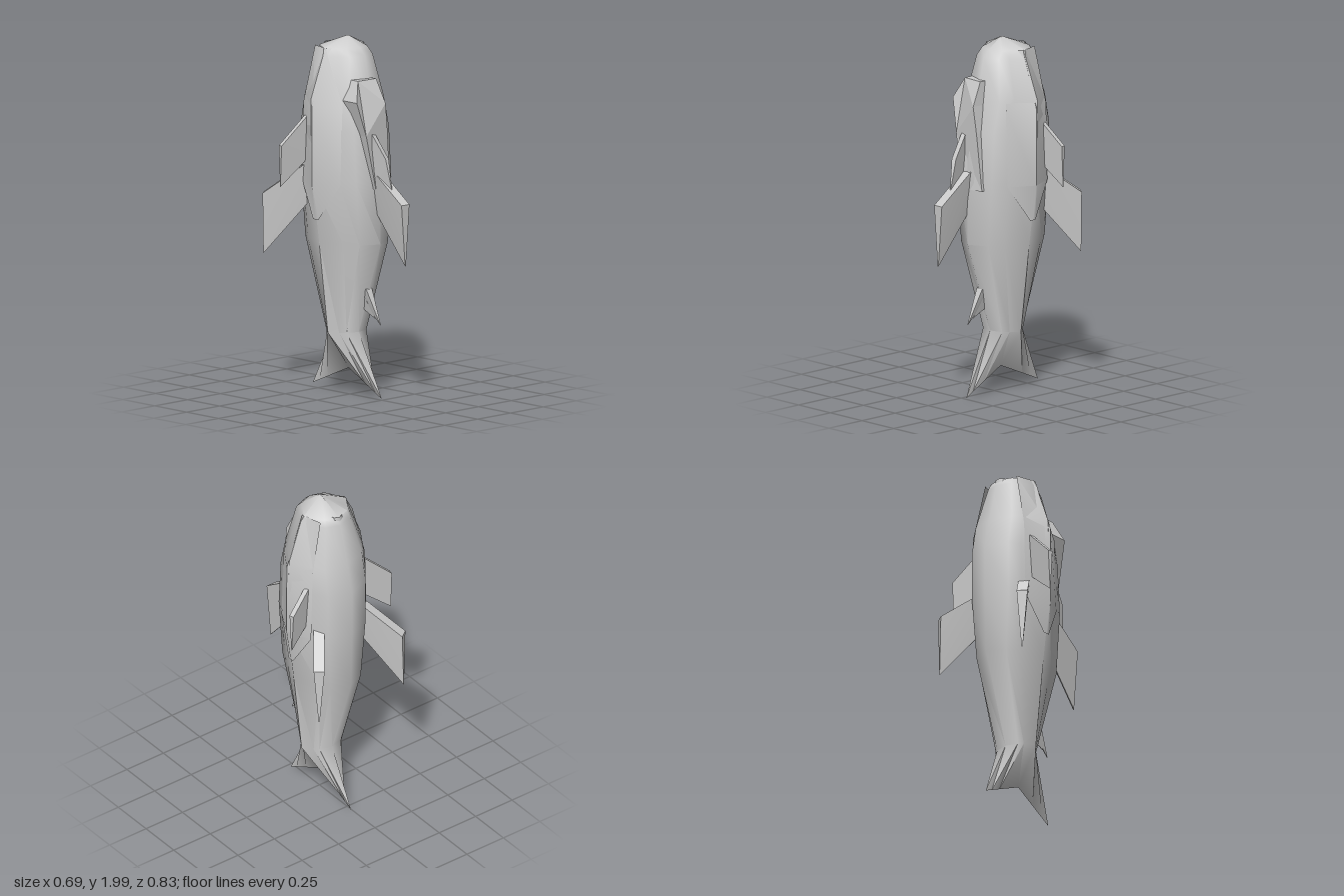
import * as THREE from 'three';
import { toCreasedNormals } from 'three/addons/utils/BufferGeometryUtils.js';
import { ConvexGeometry } from 'three/addons/geometries/ConvexGeometry.js';

const grey = new THREE.MeshStandardMaterial({ color: 0xcccccc });
const greyThin = new THREE.MeshStandardMaterial({ color: 0xcccccc, side: THREE.DoubleSide });
const CX = 0.02; // the body sits slightly off the middle

function addMesh(parent, name, geometry, material = grey) {
  const mesh = new THREE.Mesh(geometry, material);
  mesh.name = name;
  parent.add(mesh);
  return mesh;
}

// Skins rows of points (top to bottom) into one surface
function skin(rows, closed, crease) {
  const n = rows[0].length, index = [];
  for (let i = 0; i < rows.length - 1; i++) {
    for (let j = 0; j < (closed ? n : n - 1); j++) {
      const a = i * n + j, b = i * n + (j + 1) % n;
      index.push(a, a + n, b + n, a, b + n, b);
    }
  }
  const g = new THREE.BufferGeometry();
  g.setAttribute('position', new THREE.Float32BufferAttribute(rows.flat(2), 3));
  g.setIndex(index);
  return toCreasedNormals(g, crease);
}

// Cross-section, half: [share of half width, share of depth from back to front]
const HALF = [[0, 1], [0.54, 0.9], [0.72, 0.73], [1, 0.48], [0.7, 0.2], [0.52, 0.09], [0, 0]];
const SECTION = [...HALF, ...HALF.slice(1, -1).reverse().map(([x, z]) => [-x, z])];

function bodyGeometry() {
  // [y, half width, front z, back z]
  const rings = [
    [2.0, 0.002, -0.03, -0.04], [1.94, 0.145, 0.06, -0.2], [1.9, 0.16, 0.1, -0.22],
    [1.67, 0.245, 0.15, -0.28], [1.5, 0.247, 0.2, -0.32], [1.22, 0.247, 0.22, -0.32],
    [0.87, 0.2, 0.22, -0.31], [0.36, 0.14, 0.05, -0.14],
  ];
  const rows = rings.map(([y, w, zf, zb]) =>
    SECTION.map(([x, t]) => [CX + x * w, y, zb + t * (zf - zb)]));
  // Forked tail: the last ring closes to a notched edge
  rows.push(SECTION.map(([, t]) => {
    const front = t >= 0.48;
    const k = front ? (t - 0.48) / 0.52 : (0.48 - t) / 0.48;
    return [CX, 0.15 - k * (front ? 0.14 : 0.12), -0.03 + k * (front ? 0.26 : -0.28)];
  }));
  return skin(rows, true, 0.9);
}

// Thin folded plate over one cheek: [y, front x, front z, ridge x, back x, back z]
function gillGeometry(side) {
  const rows = [
    [1.94, 0.08, 0.0, 0.145, 0.11, -0.18], [1.63, 0.16, 0.085, 0.25, 0.18, -0.2],
    [1.2, 0.175, 0.085, 0.252, 0.19, -0.2], [1.0, 0.222, -0.04, 0.224, 0.222, -0.08],
  ].map(([y, fx, fz, rx, bx, bz]) => [
    [CX + side * fx, y, fz], [CX + side * rx, y, -0.06], [CX + side * bx, y, bz],
  ]);
  if (side < 0) rows.forEach((row) => row.reverse());
  return skin(rows, false, 0.9);
}

// Wedge fin, thick along its top edge; corners are [distance outwards, y]
function addFin(parent, name, [x, z], angle, thick, rootTop, tipTop, tipLow, rootLow) {
  const pts = [];
  for (const s of [-1, 1]) {
    for (const [r, y] of [rootTop, tipTop]) pts.push(new THREE.Vector3(s * thick, y, r));
    for (const [r, y] of [tipLow, rootLow]) pts.push(new THREE.Vector3(s * thick * 0.1, y, r));
  }
  const fin = addMesh(parent, name, toCreasedNormals(new ConvexGeometry(pts), 0.6));
  fin.position.set(x, 0, z);
  fin.rotation.y = angle;
}

export function createModel() {
  const model = new THREE.Group();
  model.name = 'fish';
  addMesh(model, 'bodyAndTail', bodyGeometry());

  // Raised plate down the front of the head
  const outline = [[-0.08, 1.78], [-0.13, 1.67], [-0.08, 1.48], [-0.02, 1.18],
    [0.11, 1.18], [0.08, 1.5], [0.06, 1.65], [0.05, 1.78]];
  const plate = new THREE.ExtrudeGeometry(
    new THREE.Shape(outline.map(([x, y]) => new THREE.Vector2(x, y))),
    { depth: 0.12, bevelEnabled: false });
  const p = plate.attributes.position;
  for (let i = 0; i < p.count; i++) {
    const x = p.getX(i), y = p.getY(i);
    const lean = Math.max(0, y - 1.67) * 0.6;
    p.setZ(i, p.getZ(i) + 0.105 - lean - 2.2 * x * x);
  }
  plate.computeVertexNormals();
  addMesh(model, 'headPlate', plate);

  // Main fins: one in front, two behind
  const big = [0.03, [-0.08, 1.33], [0.21, 1.12], [0.21, 0.78], [-0.08, 1.12]];
  addFin(model, 'frontFin', [0.005, 0.22], 0, ...big);

  for (const side of [-1, 1]) {
    const label = side > 0 ? 'left' : 'right';
    addMesh(model, label + 'GillCover', gillGeometry(side), greyThin);
    addFin(model, label + 'RearFin', [side * 0.165, -0.21], side * 2.5, ...big);
    addFin(model, label + 'SideFin', [side * 0.16, -0.155], side * 1.79, 0.014,
      [0, 1.58], [0.185, 1.41], [0.185, 1.18], [0, 1.33]);
  }

  // Small fins along the front
  addFin(model, 'upperFrontFin', [-0.025, 0.2], 0.18, 0.014,
    [0, 1.5], [0.1, 1.36], [0.135, 1.18], [0, 1.25]);
  addFin(model, 'lowerFrontFin', [0.02, 0], 0, 0.022,
    [0.05, 0.64], [0.13, 0.61], [0.22, 0.42], [0.08, 0.55]);
  addFin(model, 'lowerFrontFinlet', [0.02, 0], 0, 0.014,
    [0.05, 0.58], [0.12, 0.55], [0.18, 0.45], [0.07, 0.5]);

  // Small open mouth at the back of the snout
  const mouth = addMesh(model, 'mouth',
    new THREE.CylinderGeometry(0.035, 0.045, 0.05, 8, 1, true), greyThin);
  mouth.position.set(CX, 1.92, -0.17);
  return model;
}
